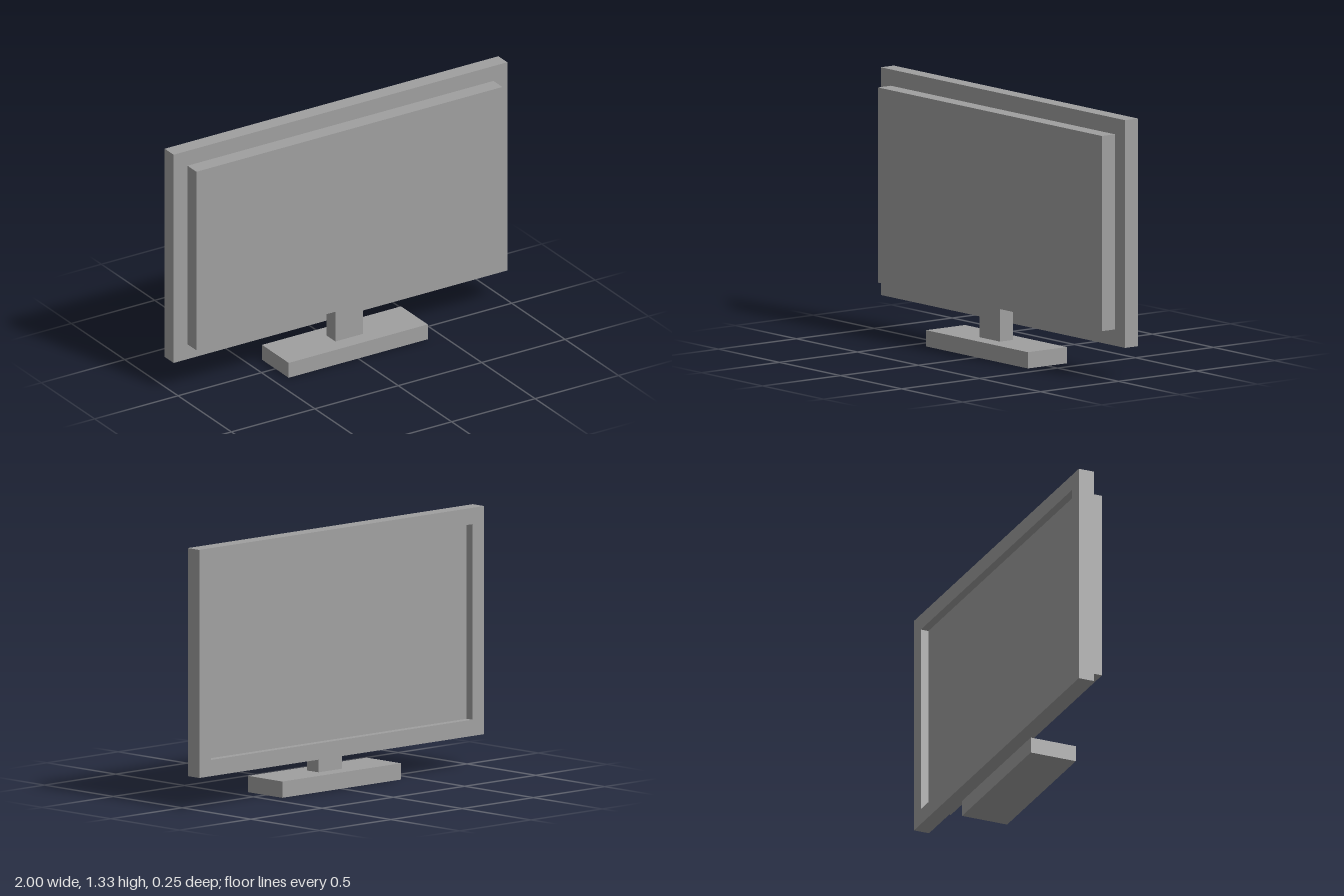
import * as THREE from 'three';

const U = 1 / 12; // module size: every part is a multiple of this

export function createModel() {
  const group = new THREE.Group();
  const grey = new THREE.MeshStandardMaterial({ color: 0xa0a0a0 });
  grey.name = 'grey';

  const add = (name, geometry, x, y, z) => {
    const mesh = new THREE.Mesh(geometry, grey);
    mesh.name = name;
    mesh.position.set(x * U, y * U, z * U);
    group.add(mesh);
  };
  // Box given by width, height, depth, bottom and centre z, in modules
  const box = (name, w, h, d, y, z) =>
    add(name, new THREE.BoxGeometry(w * U, h * U, d * U), 0, y + h / 2, z);

  const rect = (path, w, h) => path
    .moveTo(-w / 2 * U, -h / 2 * U).lineTo(w / 2 * U, -h / 2 * U)
    .lineTo(w / 2 * U, h / 2 * U).lineTo(-w / 2 * U, h / 2 * U).closePath();

  // Bezel: rectangular ring around the recessed screen
  const outline = new THREE.Shape();
  const opening = new THREE.Path();
  rect(outline, 24, 14);
  rect(opening, 22, 12);
  outline.holes.push(opening);
  add('bezel', new THREE.ExtrudeGeometry(outline, { depth: U, bevelEnabled: false }), 0, 9, -1.5);

  // Screen sits half a module inside the bezel, on its -z side
  box('screen', 22, 12, 0.5, 3, -0.75);

  // Raised housing, neck and foot
  box('housing', 22, 12, 1, 3, 0);
  box('neck', 2, 2, 1, 1, 0);
  box('base', 10, 1, 3, 0, 0);

  return group;
}
